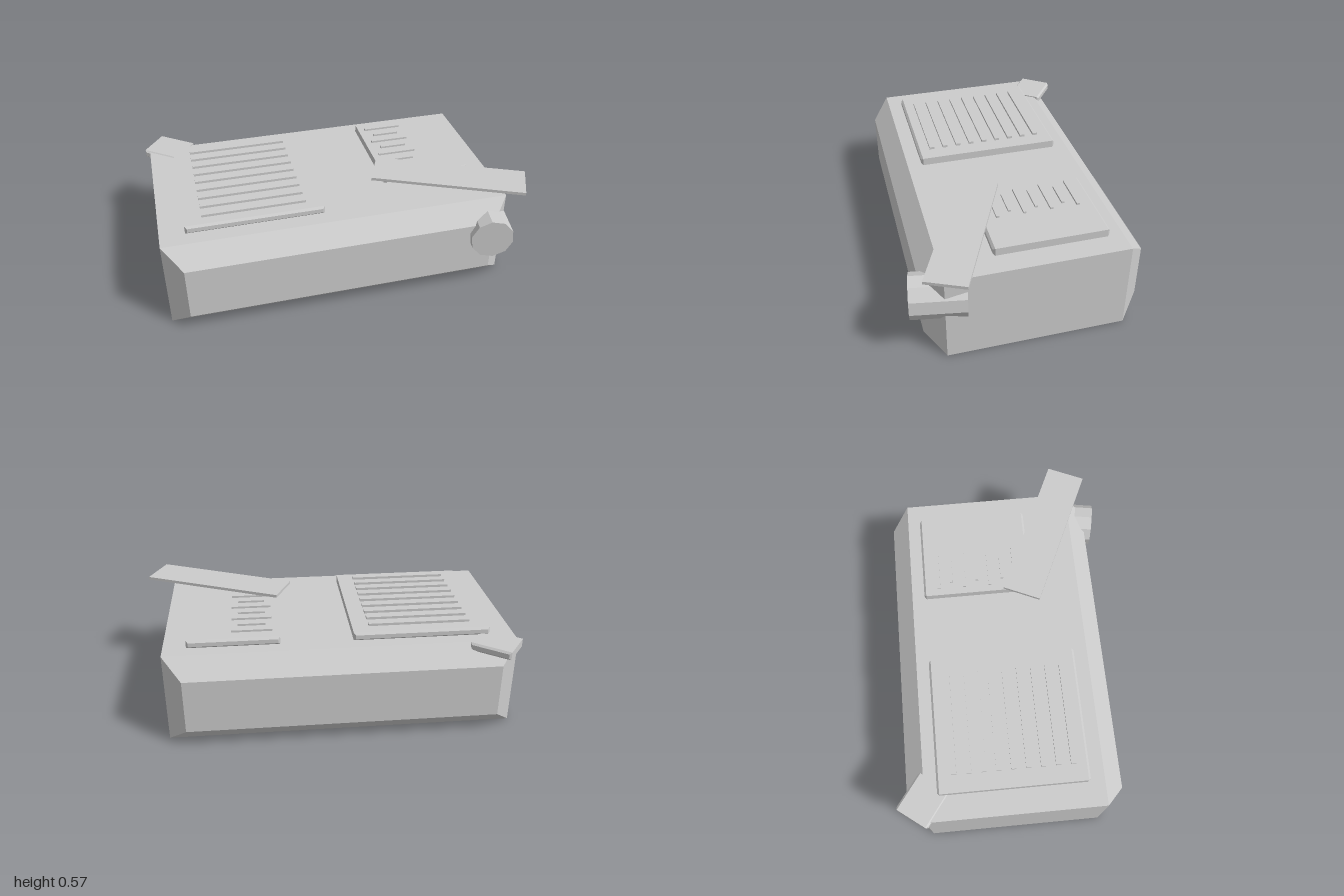
import * as THREE from 'three';

const grey = new THREE.MeshStandardMaterial({ color: 0xcccccc });
grey.name = 'light grey';

const rad = THREE.MathUtils.degToRad;

function add(parent, name, geometry, x = 0, y = 0, z = 0) {
  const mesh = new THREE.Mesh(geometry, grey);
  mesh.name = name;
  mesh.position.set(x, y, z);
  parent.add(mesh);
  return mesh;
}

// Centred block whose front and back ends taper by a chamfer on all four edges
function chamferedBlock(w, h, d, c) {
  const shape = new THREE.Shape([
    new THREE.Vector2(-w / 2, -h / 2), new THREE.Vector2(w / 2, -h / 2),
    new THREE.Vector2(w / 2, h / 2), new THREE.Vector2(-w / 2, h / 2),
  ]);
  const g = new THREE.ExtrudeGeometry(shape, {
    depth: d - 2 * c, bevelEnabled: true, bevelSegments: 1,
    bevelSize: c, bevelThickness: c, bevelOffset: -c,
  });
  return g.translate(0, 0, -(d - 2 * c) / 2);
}

// Places a chamfered block by its extents
function blockBetween(parent, name, x0, x1, y0, y1, z0, z1, c) {
  return add(parent, name, chamferedBlock(x1 - x0, y1 - y0, z1 - z0, c),
    (x0 + x1) / 2, (y0 + y1) / 2, (z0 + z1) / 2);
}

export function createModel() {
  const model = new THREE.Group();
  model.name = 'device';

  // Main housing and the two raised panels
  blockBetween(model, 'housing', -0.97, 0.86, 0, 0.49, -0.573, 0.557, 0.098);
  blockBetween(model, 'largePanel', -0.84, -0.12, 0.488, 0.532, -0.405, 0.382, 0.011);
  blockBetween(model, 'smallPanel', 0.26, 0.74, 0.488, 0.532, -0.405, 0.194, 0.011);

  // Ribs on the large panel
  const largeRibs = new THREE.Group();
  largeRibs.name = 'largePanelRibs';
  for (let i = 0; i < 9; i++) {
    add(largeRibs, 'rib', new THREE.BoxGeometry(0.54, 0.015, 0.027), -0.478, 0.538, -0.313 + i * 0.077);
  }
  model.add(largeRibs);

  // Alternating long and short ribs on the small panel
  const smallRibs = new THREE.Group();
  smallRibs.name = 'smallPanelRibs';
  for (let i = 0; i < 7; i++) {
    const length = i % 2 === 0 ? 0.213 : 0.146;
    add(smallRibs, 'rib', new THREE.BoxGeometry(length, 0.012, 0.016), 0.403, 0.537, -0.32 + i * 0.0713);
  }
  model.add(smallRibs);

  // Thin angled lever plate above the small panel
  const lever = add(model, 'lever', new THREE.BoxGeometry(0.813, 0.016, 0.21), 0.585, 0.558, 0.302);
  lever.rotation.y = -rad(24.4);

  // Angled tab at the back corner
  const tab = add(model, 'tab', chamferedBlock(0.218, 0.045, 0.193, 0.01), -0.855, 0.473, -0.482);
  tab.rotation.y = -rad(36.6);

  // Ten-sided knob running through the front corner
  const knobShape = new THREE.CylinderGeometry(0.115, 0.115, 0.28, 10, 1, false, rad(7.5))
    .rotateX(Math.PI / 2).toNonIndexed();
  knobShape.computeVertexNormals();
  const knob = add(model, 'knob', knobShape, 0.759, 0.327, 0.473);
  knob.rotation.y = -rad(9.8);

  return model;
}
